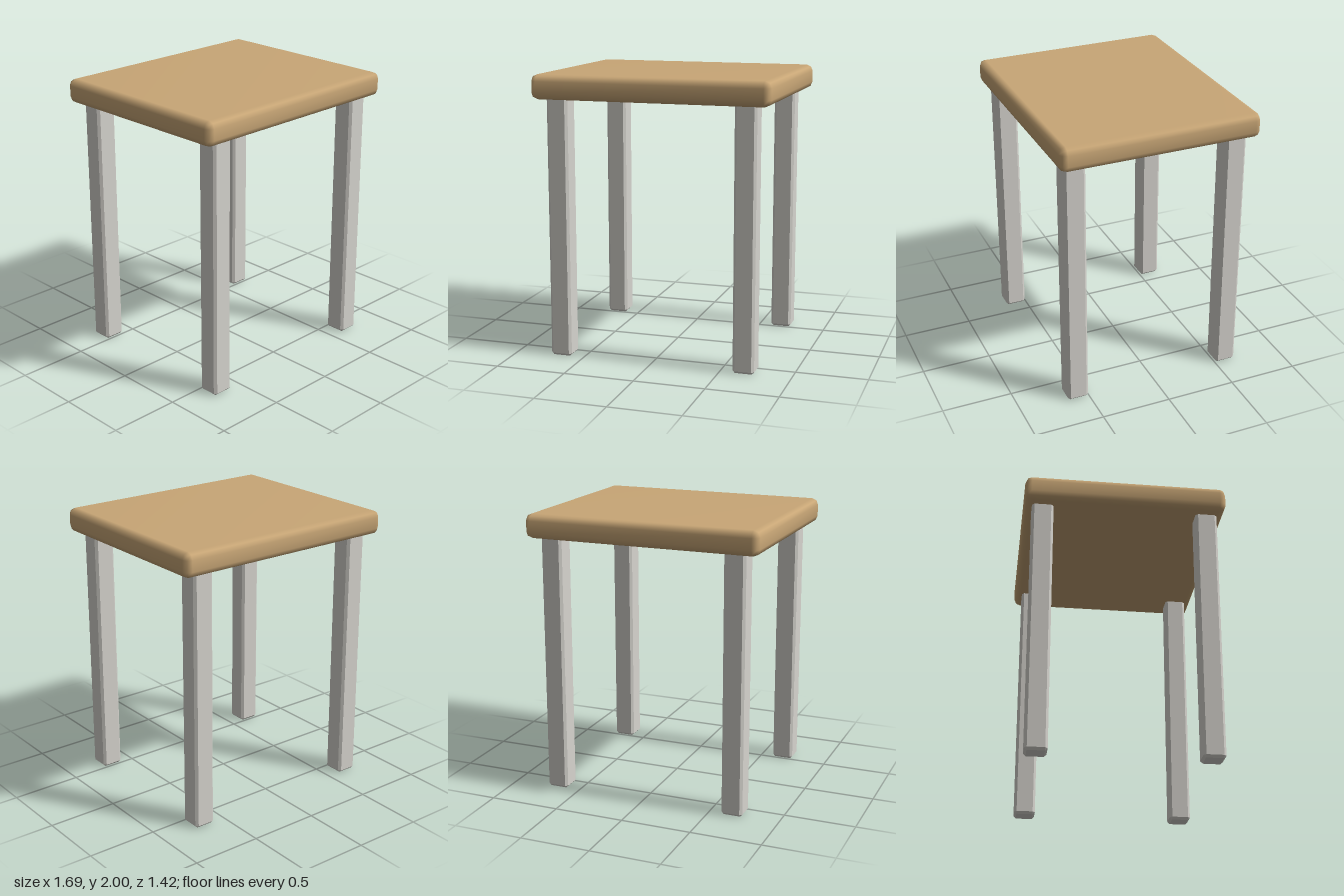
import * as THREE from 'three';
import { mergeVertices } from 'three/addons/utils/BufferGeometryUtils.js';
import { RoundedBoxGeometry } from 'three/addons/geometries/RoundedBoxGeometry.js';
import { ConvexGeometry } from 'three/addons/geometries/ConvexGeometry.js';

// Box with every edge cut by one flat chamfer, centred on the origin
function chamferedBox(w, h, d, c) {
  const points = [];
  for (const sx of [-1, 1]) for (const sy of [-1, 1]) for (const sz of [-1, 1]) {
    const [x, y, z] = [w / 2, h / 2, d / 2];
    points.push(
      new THREE.Vector3(sx * x, sy * (y - c), sz * (z - c)),
      new THREE.Vector3(sx * (x - c), sy * y, sz * (z - c)),
      new THREE.Vector3(sx * (x - c), sy * (y - c), sz * z)
    );
  }
  return new ConvexGeometry(points);
}

// Rounded slab whose normals are shared across all its faces
function softSlab(w, h, d, r) {
  const geometry = new RoundedBoxGeometry(w, h, d, 1, r);
  geometry.deleteAttribute('normal');
  geometry.deleteAttribute('uv');
  const merged = mergeVertices(geometry, 1e-4);
  merged.computeVertexNormals();
  return merged;
}

export function createModel() {
  const model = new THREE.Group();
  model.name = 'table';

  const wood = new THREE.MeshStandardMaterial({ color: 0xc8a676 });
  wood.name = 'tan wood';
  const paint = new THREE.MeshStandardMaterial({ color: 0xd6d4ce });
  paint.name = 'pale grey paint';

  // Table top
  const top = new THREE.Mesh(softSlab(1.686, 0.172, 1.42, 0.047), wood);
  top.name = 'tableTop';
  top.position.y = 2 - 0.086;
  model.add(top);

  // Four legs, their upper ends sunk into the top
  const legHeight = 1.86;
  const legGeometry = chamferedBox(0.152, legHeight, 0.152, 0.017);
  for (const [sz, end] of [[1, 'front'], [-1, 'back']]) {
    for (const [sx, side] of [[1, 'Left'], [-1, 'Right']]) {
      const leg = new THREE.Mesh(legGeometry, paint);
      leg.name = `${end}${side}Leg`;
      leg.position.set(sx * 0.667, legHeight / 2, sz * 0.58);
      model.add(leg);
    }
  }

  return model;
}
